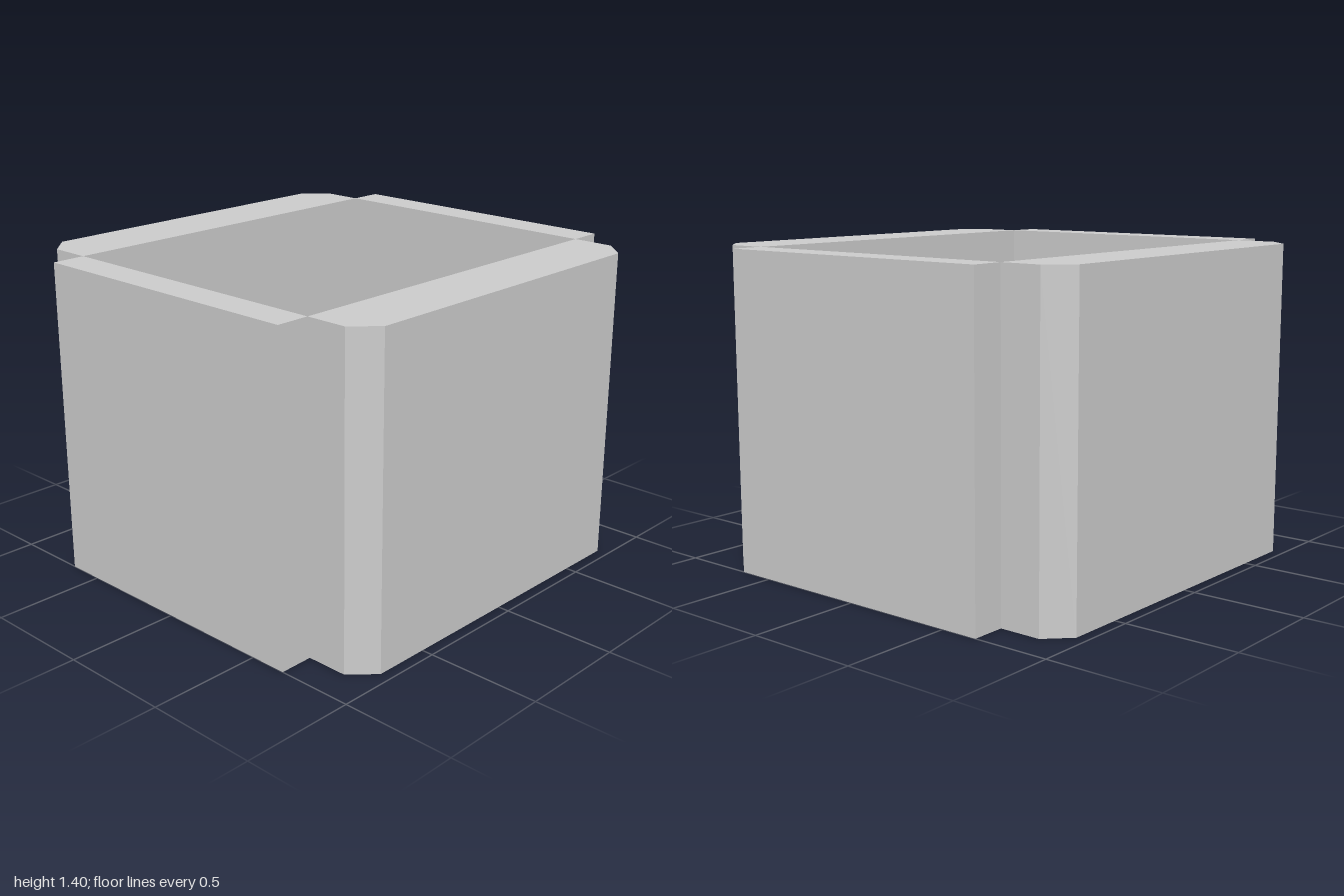
import * as THREE from 'three';

const HEIGHT = 1.4;
const HALF_WIDTH = 0.85;   // inner opening, half size in x
const HALF_DEPTH = 0.665;  // inner opening, half size in z
const SIDE_THICKNESS = 0.15;
const OUTER_Z = 0.95;
const CHAMFER = 0.1;

export function createModel() {
  const model = new THREE.Group();
  const material = new THREE.MeshStandardMaterial({ color: 0xcccccc, flatShading: true });

  const add = (name, geometry) => {
    const mesh = new THREE.Mesh(geometry, material);
    mesh.name = name;
    model.add(mesh);
    return mesh;
  };

  // Front and back walls: thick slabs with chamfered outer corners
  const outline = new THREE.Shape([
    new THREE.Vector2(-HALF_WIDTH, HALF_DEPTH),
    new THREE.Vector2(HALF_WIDTH, HALF_DEPTH),
    new THREE.Vector2(HALF_WIDTH, OUTER_Z - CHAMFER),
    new THREE.Vector2(HALF_WIDTH - CHAMFER, OUTER_Z),
    new THREE.Vector2(CHAMFER - HALF_WIDTH, OUTER_Z),
    new THREE.Vector2(-HALF_WIDTH, OUTER_Z - CHAMFER),
  ]);
  const slab = new THREE.ExtrudeGeometry(outline, { depth: HEIGHT, bevelEnabled: false });
  slab.rotateX(-Math.PI / 2);
  add('backWall', slab);
  add('frontWall', slab).rotation.y = Math.PI;

  // Left and right walls: plain thinner slabs meeting the others at their inner corners
  const side = new THREE.BoxGeometry(SIDE_THICKNESS, HEIGHT, 2 * HALF_DEPTH);
  for (const [name, sign] of [['leftWall', 1], ['rightWall', -1]]) {
    add(name, side).position.set(sign * (HALF_WIDTH + SIDE_THICKNESS / 2), HEIGHT / 2, 0);
  }

  return model;
}
